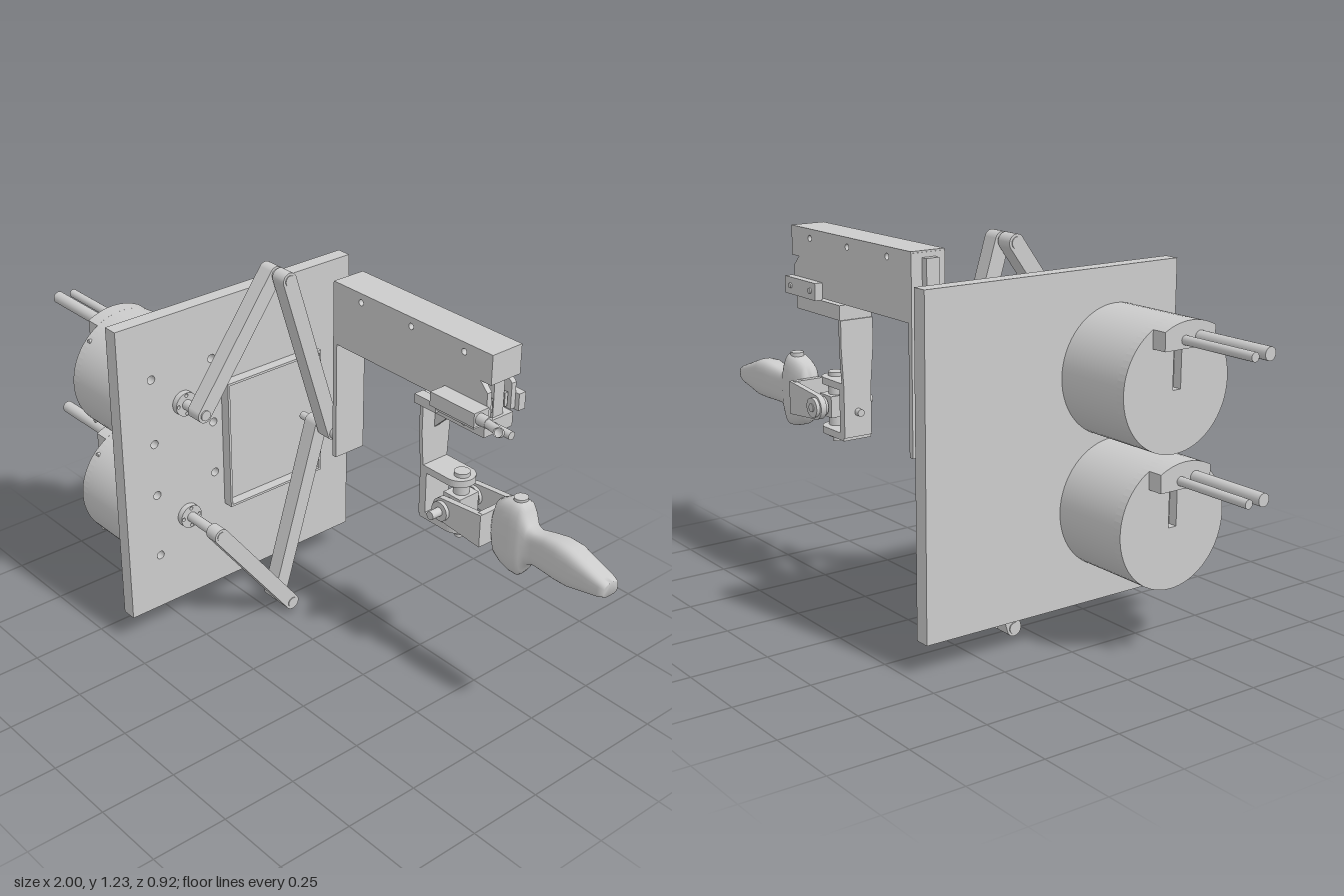
import * as THREE from 'three';

const grey = new THREE.MeshStandardMaterial({ color: 0xcccccc, side: THREE.DoubleSide });
const ARM_Z = -0.255;

export function createModel() {
  const model = new THREE.Group();

  const add = (name, geo) => {
    const m = new THREE.Mesh(geo, grey);
    m.name = name;
    model.add(m);
    return m;
  };
  // box given by its limits on each axis
  const box = (name, x0, x1, y0, y1, z0, z1) =>
    add(name, new THREE.BoxGeometry(x1 - x0, y1 - y0, z1 - z0)
      .translate((x0 + x1) / 2, (y0 + y1) / 2, (z0 + z1) / 2));
  // cylinder along an axis, from a to b, at the other two coordinates
  const rod = (name, axis, a, b, r, p, q, seg = 24) => {
    const g = new THREE.CylinderGeometry(r, r, b - a, seg);
    const c = (a + b) / 2;
    if (axis === 'x') g.rotateZ(-Math.PI / 2).translate(c, p, q);
    else if (axis === 'y') g.translate(p, c, q);
    else g.rotateX(Math.PI / 2).translate(p, q, c);
    return add(name, g);
  };
  // shape drawn in (-z, y), extruded along +x
  const extrudeX = (name, shape, x0, x1) =>
    add(name, new THREE.ExtrudeGeometry(shape, { depth: x1 - x0, bevelEnabled: false, curveSegments: 32 })
      .rotateY(Math.PI / 2).translate(x0, 0, 0));
  // shape drawn in (x, y), extruded along +z
  const extrudeZ = (name, shape, z0, z1) =>
    add(name, new THREE.ExtrudeGeometry(shape, { depth: z1 - z0, bevelEnabled: false, curveSegments: 16 })
      .translate(0, 0, z0));
  const poly = (pts) => new THREE.Shape(pts.map(([a, b]) => new THREE.Vector2(a, b)));
  const rect = (a0, a1, b0, b1) => poly([[a0, b0], [a1, b0], [a1, b1], [a0, b1]]);
  const hole = (shape, a, b, r) => shape.holes.push(new THREE.Path().absarc(a, b, r, 0, Math.PI * 2, true));

  // mounting plate with screw holes
  const plate = rect(-0.46, 0.46, 0.105, 1.13);
  for (const z of [0.34, 0.11]) for (const y of [0.3, 0.525, 0.71, 0.935]) hole(plate, -z, y, 0.014);
  extrudeX('mountingPlate', plate, -0.41, -0.36);

  // thin raised frame on the plate
  const frame = rect(-0.075, 0.312, 0.393, 0.845);
  frame.holes.push(rect(-0.067, 0.304, 0.401, 0.837));
  extrudeX('raisedFrame', frame, -0.36, -0.325);

  // motors with slotted back cover, connector, cables, flange and shaft
  for (const [my, shaftEnd] of [[0.82, -0.24], [0.41, -0.178]]) {
    const mz = 0.22;
    rod('motorBody', 'x', -0.65, -0.41, 0.2, my, mz, 64);
    const cover = new THREE.Shape().absarc(-mz, my, 0.2, 0, Math.PI * 2);
    cover.holes.push(rect(-mz - 0.015, -mz + 0.015, my - 0.01, my + 0.115));
    extrudeX('motorCover', cover, -0.68, -0.65);
    const a = 0.5;
    const block = new THREE.Shape();
    block.moveTo(-mz - 0.095, my + 0.12);
    block.lineTo(-mz + 0.095, my + 0.12);
    block.absarc(-mz, my, 0.2, Math.PI / 2 - a, Math.PI / 2 + a);
    extrudeX('motorConnector', block, -0.73, -0.68);
    rod('thinCable', 'x', -1, -0.73, 0.014, my + 0.145, 0.2);
    rod('thickCable', 'x', -1, -0.73, 0.02, my + 0.147, 0.257);
    for (const dy of [-0.14, 0.14]) rod('motorScrew', 'z', 0.335, 0.365, 0.008, -0.66, my + dy, 12);
    const flange = new THREE.Shape().absarc(-0.225, my, 0.04, 0, Math.PI * 2);
    for (let i = 0; i < 4; i++)
      hole(flange, -0.225 + 0.031 * Math.cos(i * Math.PI / 2), my + 0.031 * Math.sin(i * Math.PI / 2), 0.006);
    extrudeX('shaftFlange', flange, -0.36, -0.34);
    rod('motorShaft', 'x', -0.36, shaftEnd, 0.017, my, 0.225);
  }

  // five-bar linkage: flat bars with round ends between (z, y) points
  const link = (name, [z0, y0], [z1, y1], x0, x1) => {
    const t = Math.atan2(y1 - y0, z0 - z1), h = Math.PI / 2;
    const s = new THREE.Shape();
    s.absarc(-z1, y1, 0.026, t - h, t + h);
    s.absarc(-z0, y0, 0.026, t + h, t + 3 * h);
    extrudeX(name, s, x0, x1);
  };
  const tip = [-0.245, 0.62], topElbow = [-0.063, 1.208], lowElbow = [-0.063, 0.03];
  link('upperCrank', [0.225, 0.82], topElbow, -0.3, -0.245);
  link('upperLink', topElbow, tip, -0.233, -0.18);
  link('lowerCrank', [0.225, 0.41], lowElbow, -0.228, -0.18);
  link('lowerLink', lowElbow, tip, -0.3, -0.245);
  for (const [z, y] of [topElbow, lowElbow]) rod('elbowPin', 'x', -0.303, -0.177, 0.018, y, z);
  rod('tipPin', 'x', -0.34, -0.135, 0.014, tip[1], tip[0]);
  rod('tipCollar', 'x', -0.18, -0.16, 0.02, tip[1], tip[0]);

  // upright bracket
  box('uprightPlate', -0.137, -0.12, 0.57, 1.18, -0.318, -0.2);
  box('uprightRail', -0.16, -0.137, 0.57, 1.165, -0.28, -0.235);

  // horizontal arm: top block, side walls and inner rail
  const wallShape = poly([[-0.13, 0.975], [0.53, 0.975], [0.53, 1.06], [0.5, 1.09], [-0.13, 1.09]]);
  const top = rect(-0.135, 0.542, 1.09, 1.185);
  for (const x of [-0.01, 0.21, 0.43]) hole(top, x, 1.155, 0.01);
  extrudeZ('armBeam', top, -0.318, -0.2);
  extrudeZ('frontArmWall', wallShape, -0.218, -0.2);
  extrudeZ('rearArmWall', wallShape, -0.318, -0.3);
  box('slideRail', -0.12, 0.52, 1.0, 1.09, -0.28, -0.238);
  for (const z of [-0.29, -0.228]) box('slideGuide', -0.12, 0.52, 0.985, 1.03, z - 0.006, z + 0.006);

  // sliding carriage with clamps and cable
  box('carriage', 0.27, 0.53, 0.918, 0.965, -0.312, -0.195);
  box('carriageNeck', 0.29, 0.52, 0.965, 1.0, -0.28, -0.238);
  box('carriageSideBlock', 0.27, 0.36, 0.94, 0.97, -0.2, -0.165);
  box('sensorBody', 0.36, 0.54, 0.975, 1.02, -0.2, -0.14);
  box('sensorFoot', 0.38, 0.53, 0.962, 0.978, -0.195, -0.15);
  box('rearClamp', 0.36, 0.545, 0.97, 1.025, -0.345, -0.318);
  for (const x of [0.39, 0.51]) rod('clampScrew', 'z', -0.35, -0.34, 0.009, x, 0.998, 12);
  for (const x of [0.34, 0.45]) rod('carriageScrew', 'z', -0.2, -0.191, 0.009, x, 0.937, 12);
  rod('stopPin', 'x', 0.53, 0.605, 0.013, 0.945, -0.23);
  const cable = new THREE.CatmullRomCurve3([[0.53, 0.997, -0.165], [0.57, 0.997, -0.16],
    [0.62, 0.998, -0.15], [0.645, 1.005, -0.135], [0.655, 1.018, -0.115]].map((p) => new THREE.Vector3(...p)));
  add('sensorCable', new THREE.TubeGeometry(cable, 20, 0.014, 12));
  rod('cableSleeve', 'x', 0.54, 0.575, 0.018, 0.997, -0.163);

  // hanger plate with gusset
  extrudeX('hangerPlate', poly([[0.195, 0.918], [0.195, 0.83], [0.205, 0.7], [0.205, 0.54],
    [0.305, 0.54], [0.305, 0.7], [0.312, 0.83], [0.312, 0.918]]), 0.265, 0.278);
  extrudeZ('hangerGusset', poly([[0.275, 0.83], [0.365, 0.918], [0.275, 0.918]]), -0.264, -0.246);

  // outer yoke with vertical pivot
  box('yokeBack', 0.27, 0.293, 0.53, 0.715, -0.305, -0.205);
  for (const y of [0.53, 0.692]) {
    const arm = new THREE.Shape();
    arm.moveTo(0.27, -0.05); arm.lineTo(0.385, -0.05);
    arm.absarc(0.385, 0, 0.05, -Math.PI / 2, Math.PI / 2);
    arm.lineTo(0.27, 0.05);
    add('yokeArm', new THREE.ExtrudeGeometry(arm, { depth: 0.023, bevelEnabled: false })
      .rotateX(Math.PI / 2).translate(0, y + 0.023, ARM_Z));
  }
  rod('verticalPivot', 'y', 0.515, 0.728, 0.025, 0.395, ARM_Z);
  rod('pivotEnd', 'y', 0.498, 0.515, 0.013, 0.395, ARM_Z);
  rod('yokeBolt', 'x', 0.245, 0.27, 0.012, 0.62, ARM_Z);

  // inner fork with horizontal pivot
  box('jointBlock', 0.36, 0.43, 0.585, 0.655, ARM_Z - 0.04, ARM_Z + 0.04);
  box('forkWeb', 0.535, 0.555, 0.565, 0.675, ARM_Z - 0.07, ARM_Z + 0.07);
  for (const s of [-1, 1]) {
    const side = new THREE.Shape();
    side.moveTo(0.555, 0.565); side.lineTo(0.555, 0.675); side.lineTo(0.395, 0.66);
    side.absarc(0.395, 0.62, 0.04, Math.PI / 2, Math.PI * 1.5);
    const z = ARM_Z + s * 0.07;
    extrudeZ('forkSide', side, z - 0.01, z + 0.01);
    rod('pivotKnob', 'z', z - 0.022, z + 0.022, 0.032, 0.395, 0.62);
  }
  rod('horizontalPivot', 'z', -0.35, -0.125, 0.014, 0.395, 0.62);

  // handle lofted along x: [x, bottom, top, half width]
  const sections = [[0.555, 0.57, 0.67, 0.03], [0.567, 0.525, 0.715, 0.036], [0.6, 0.507, 0.731, 0.044],
    [0.635, 0.497, 0.741, 0.047], [0.663, 0.495, 0.741, 0.044], [0.677, 0.515, 0.72, 0.04],
    [0.692, 0.545, 0.68, 0.034], [0.715, 0.557, 0.67, 0.031], [0.76, 0.558, 0.68, 0.037],
    [0.81, 0.557, 0.688, 0.044], [0.86, 0.558, 0.685, 0.045], [0.92, 0.57, 0.663, 0.04],
    [0.975, 0.582, 0.643, 0.036], [0.995, 0.59, 0.634, 0.03]];
  const N = 32, pos = [], idx = [];
  for (const [x, b, t, w] of sections) for (let i = 0; i < N; i++) {
    const a = (i / N) * Math.PI * 2, c = Math.cos(a), s = Math.sin(a);
    pos.push(x, (b + t) / 2 + Math.sign(c) * Math.abs(c) ** 0.6 * (t - b) / 2,
      -0.252 + Math.sign(s) * Math.abs(s) ** 0.6 * w);
  }
  for (let r = 0; r < sections.length - 1; r++) for (let i = 0; i < N; i++) {
    const a = r * N + i, b = r * N + (i + 1) % N;
    idx.push(a, b, a + N, b, b + N, a + N);
  }
  const last = (sections.length - 1) * N;
  for (let i = 1; i < N - 1; i++) idx.push(0, i + 1, i, last, last + i, last + i + 1);
  const handle = new THREE.BufferGeometry();
  handle.setAttribute('position', new THREE.Float32BufferAttribute(pos, 3));
  handle.setIndex(idx);
  handle.computeVertexNormals();
  add('handle', handle);
  rod('handleCap', 'y', 0.72, 0.748, 0.022, 0.637, ARM_Z);

  return model;
}
